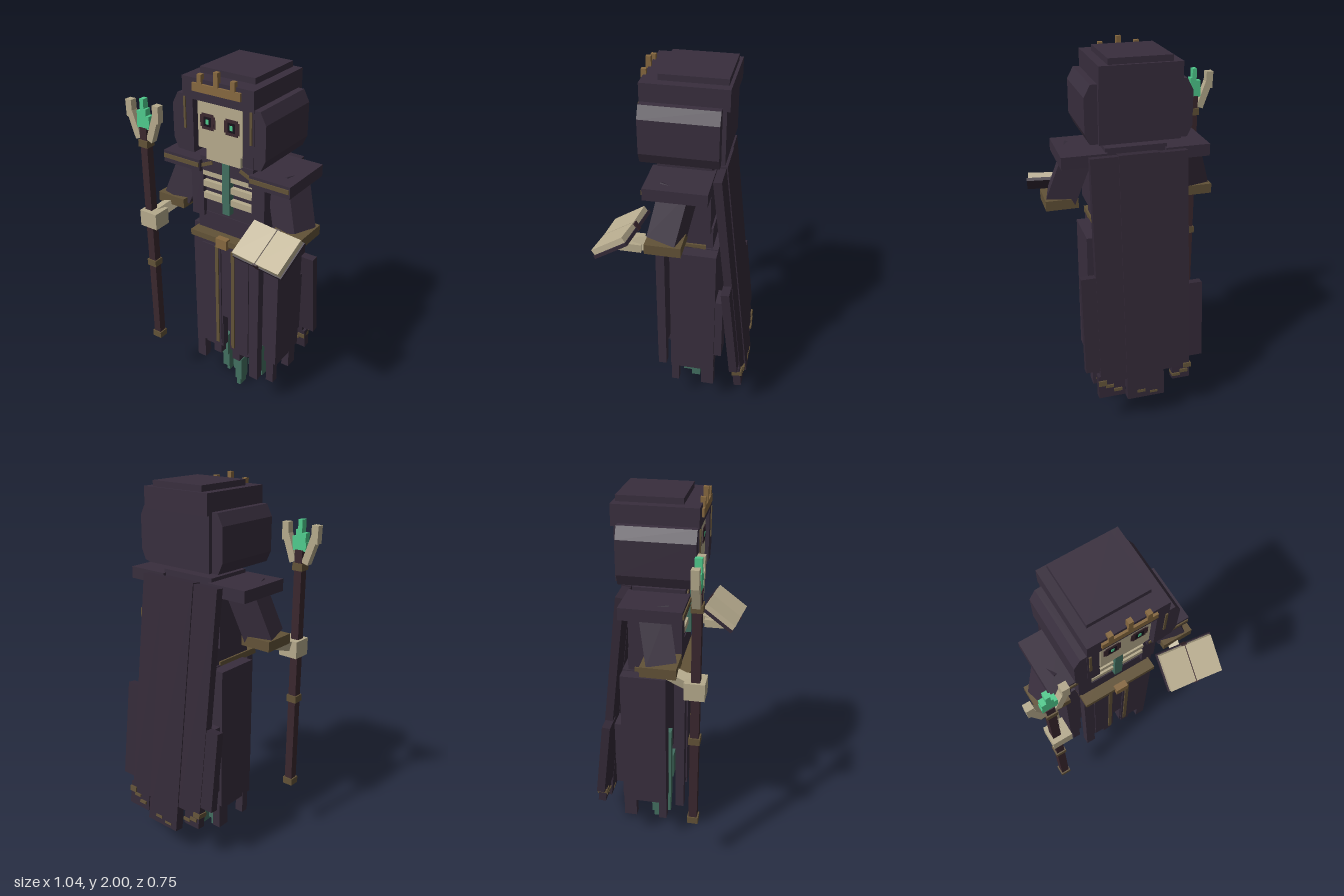
import * as THREE from 'three';

const C = 0.016; // symmetry plane of the body

const mat = (name, hex) => {
  const m = new THREE.MeshStandardMaterial({ color: hex });
  m.name = name;
  return m;
};

export function createModel() {
  const root = new THREE.Group();
  root.name = 'hoodedSkeleton';
  const robe = mat('robe', 0x382e3d), cape = mat('capeCloth', 0x332937), bone = mat('bone', 0xb5aa8c);
  const page = mat('page', 0xbdb193), gold = mat('gold', 0x86683f), trim = mat('dullGold', 0x625237);
  const wood = mat('darkWood', 0x3a272e), teal = mat('tealCloth', 0x426f60);
  const glow = mat('greenGlow', 0x4fcb8d), black = mat('black', 0x18111b);

  // box given by its limits
  const box = (name, m, x0, x1, y0, y1, z0, z1, parent = root) => {
    const mesh = new THREE.Mesh(new THREE.BoxGeometry(x1 - x0, y1 - y0, z1 - z0), m);
    mesh.position.set((x0 + x1) / 2, (y0 + y1) / 2, (z0 + z1) / 2);
    mesh.name = name;
    parent.add(mesh);
    return mesh;
  };
  // box centred on the body, by half width
  const mid = (name, m, w, ...r) => box(name, m, C - w, C + w, ...r);
  // two mirrored boxes, limits measured outward from the body centre
  const pair = (name, m, a, b, ...r) => {
    box(name + 'Left', m, C + a, C + b, ...r);
    box(name + 'Right', m, C - b, C - a, ...r);
  };
  // square bar between two points
  const bar = (name, m, a, b, w, d = w, yaw = 0) => {
    const A = new THREE.Vector3(...a), B = new THREE.Vector3(...b);
    const mesh = new THREE.Mesh(new THREE.BoxGeometry(w, A.distanceTo(B), d).rotateY(yaw), m);
    mesh.position.copy(A).add(B).multiplyScalar(0.5);
    mesh.quaternion.setFromUnitVectors(new THREE.Vector3(0, 1, 0), B.sub(A).normalize());
    mesh.name = name;
    root.add(mesh);
    return mesh;
  };

  // hood
  mid('hoodBack', robe, 0.205, 1.57, 1.86, -0.22, 0.1);
  mid('hoodCrown', robe, 0.205, 1.845, 1.95, -0.235, 0.188);
  mid('hoodTop', robe, 0.158, 1.95, 1.98, -0.22, 0.107);
  pair('hoodCheek', robe, 0.145, 0.207, 1.57, 1.845, 0.1, 0.188);
  pair('hoodTrim', trim, 0.186, 0.198, 1.69, 1.85, 0.188, 0.194);
  for (const s of [-1, 1]) {
    const pts = [[0.2, 1.57], [0.245, 1.57], [0.27, 1.625], [0.27, 1.8], [0.238, 1.86], [0.2, 1.86]];
    const shape = new THREE.Shape(pts.map(([x, y]) => new THREE.Vector2(s * x, y)));
    const flap = new THREE.Mesh(new THREE.ExtrudeGeometry(shape, { depth: 0.385, bevelEnabled: false }), robe);
    flap.position.set(C, 0, -0.2);
    flap.name = 'hoodFlap';
    root.add(flap);
  }

  // crown
  mid('crownBand', gold, 0.138, 1.89, 1.93, 0.17, 0.2);
  for (const [x, h] of [[-0.095, 1.975], [0, 2], [0.095, 1.975]])
    box('crownProng', gold, C + x - 0.012, C + x + 0.012, 1.93, h, 0.175, 0.2);

  // skull with layered eye plates
  mid('skull', bone, 0.13, 1.6, 1.845, -0.1, 0.17);
  mid('jaw', bone, 0.102, 1.53, 1.6, -0.04, 0.145);
  for (const s of [-1, 1]) {
    const plate = (name, m, w, h, z) =>
      box(name, m, C + s * 0.07 - w, C + s * 0.07 + w, 1.741 - h, 1.741 + h, 0.168, z);
    plate('socketWide', wood, 0.044, 0.03, 0.173);
    plate('socketTall', wood, 0.034, 0.04, 0.1735);
    plate('pupil', black, 0.022, 0.024, 0.175);
    plate('eyeGlow', glow, 0.008, 0.012, 0.177);
  }

  // torso, ribs and shoulders
  mid('torso', robe, 0.16, 1.07, 1.47, -0.16, 0.09);
  mid('shoulderYoke', robe, 0.16, 1.45, 1.527, -0.15, 0.12);
  mid('waist', robe, 0.2, 1.06, 1.2, -0.17, 0.095);
  pair('chestPanel', robe, 0.15, 0.225, 1.18, 1.46, -0.16, 0.115);
  for (const y of [1.303, 1.372, 1.437]) pair('rib', bone, 0.02, 0.15, y - 0.017, y + 0.017, 0.07, 0.115);
  mid('chestSash', teal, 0.022, 1.235, 1.525, 0.08, 0.128);
  pair('pauldron', robe, 0.15, 0.383, 1.445, 1.508, -0.17, 0.143);
  pair('pauldronTrim', trim, 0.155, 0.378, 1.47, 1.493, 0.14, 0.149);
  for (const s of [-1, 1])
    bar('claspBar', trim, [C + s * 0.085, 1.505, 0.122], [C + s * 0.16, 1.472, 0.122], 0.018, 0.01);

  // belt
  mid('belt', trim, 0.21, 1.065, 1.098, -0.135, 0.157);
  mid('buckle', gold, 0.034, 1.052, 1.108, 0.14, 0.175);
  pair('beltStrip', trim, 0.042, 0.062, 0.39, 1.035, 0.138, 0.146);

  // front skirt, open at the centre near the hem
  mid('frontSkirtTop', robe, 0.21, 0.58, 1.07, 0.085, 0.132);
  pair('frontSkirt', robe, 0.023, 0.21, 0.36, 0.6, 0.085, 0.132);
  pair('frontOverlay', robe, 0.03, 0.15, 0.38, 1.03, 0.13, 0.139);
  for (const [a, b, y] of [[0.04, 0.09, 0.3], [0.09, 0.14, 0.35], [0.155, 0.21, 0.22]])
    pair('frontTatter', robe, a, b, y, 0.37, 0.085, 0.131);

  // side skirt with ragged hem
  mid('skirtCore', robe, 0.21, 0.36, 1.08, -0.2, 0.0);
  pair('sideSkirt', robe, 0.2, 0.275, 0.3, 1.075, -0.2, 0.042);
  pair('sideTatterFront', robe, 0.215, 0.262, 0.16, 0.31, 0.0, 0.042);
  pair('sideTatterMid', robe, 0.215, 0.26, 0.265, 0.31, -0.13, 0.0);
  pair('sideTatterBack', robe, 0.215, 0.262, 0.16, 0.31, -0.2, -0.13);
  pair('sideRear', robe, 0.15, 0.262, 0.39, 0.77, -0.24, -0.19);

  // hanging teal rags: x0, x1, y0, y1, z0, z1
  for (const r of [
    [-0.01, 0.035, 0.12, 0.59, -0.01, 0.026], [0, 0.045, 0.045, 0.2, -0.04, 0.022], [0.01, 0.036, 0, 0.1, -0.04, 0.02],
    [-0.12, -0.055, 0.195, 0.345, -0.05, 0.022], [-0.105, -0.06, 0.085, 0.2, -0.07, 0], [-0.09, -0.07, 0.04, 0.1, -0.06, -0.02],
    [0.095, 0.17, 0.195, 0.35, -0.1, 0.02], [0.105, 0.155, 0.14, 0.2, -0.1, -0.02], [0.12, 0.147, 0.08, 0.15, -0.1, -0.05],
    [-0.055, 0.1, 0.25, 0.4, -0.1, -0.03],
  ]) box('tealRag', teal, ...r);

  // slanted cape
  const back = new THREE.Group();
  back.name = 'cape';
  back.position.set(C, 1.505, -0.19);
  back.rotation.x = 0.113;
  root.add(back);
  const cp = (name, m, ...r) => box(name, m, ...r, back);
  cp('capeCentre', cape, -0.1, 0.108, -1.365, 0, -0.029, 0.022);
  cp('capeLeft', cape, 0.1, 0.25, -1.24, -0.005, -0.023, 0.02);
  cp('capeRight', cape, -0.25, -0.1, -1.22, -0.005, -0.023, 0.02);
  cp('capeLeftFlare', cape, 0.2, 0.328, -1.165, -0.625, -0.02, 0.024);
  cp('capeRightFlare', cape, -0.325, -0.2, -1.165, -0.73, -0.02, 0.024);
  cp('capeLeftTatter', cape, 0.12, 0.265, -1.33, -1.2, -0.023, 0.02);
  cp('capeRightTatter', cape, -0.25, -0.15, -1.29, -1.2, -0.023, 0.02);
  // stepped hem trim
  for (const [x, y, h] of [
    [-0.215, -1.245, 0.018], [-0.17, -1.262, 0.015], [-0.235, -1.215, 0.025], [0.16, -1.29, 0.016],
    [0.205, -1.262, 0.015], [0.243, -1.24, 0.03], [-0.04, -1.34, 0.013], [0.03, -1.325, 0.016],
  ]) cp('hemTrim', trim, x - 0.022, x + 0.022, y - h / 2, y + h / 2, -0.032, 0.025);

  // sleeves, cuffs and forearms
  for (const s of [-1, 1]) {
    bar('sleeve', robe, [C + s * 0.27, 1.48, -0.02], [C + s * 0.355, 1.22, 0.035], 0.15, 0.15, s * 0.65);
    box('cuff', trim, C + s * 0.365 - 0.085, C + s * 0.365 + 0.085, 1.185, 1.238, -0.055, 0.125);
  }
  bar('rightForearm', bone, [-0.35, 1.2, 0.03], [-0.395, 1.15, 0.2], 0.055);
  bar('leftForearm', bone, [0.38, 1.2, 0.03], [0.345, 1.15, 0.2], 0.055);
  box('rightHand', bone, -0.45, -0.342, 1.09, 1.182, 0.165, 0.268);
  box('leftHand', bone, 0.285, 0.39, 1.13, 1.175, 0.16, 0.28);

  // open book
  const book = new THREE.Group();
  book.name = 'book';
  book.position.set(0.36, 1.225, 0.268);
  book.rotation.set(0.6, -0.13, 0, 'YXZ');
  root.add(book);
  box('bookCover', cape, -0.153, 0.153, -0.025, -0.008, -0.105, 0.105, book);
  box('bookSpine', wood, -0.014, 0.014, -0.03, 0.014, -0.107, 0.107, book);
  for (const s of [-1, 1]) {
    const p = box('bookPages', page, s * 0.074 - 0.071, s * 0.074 + 0.071, -0.01, 0.02, -0.1, 0.1, book);
    p.rotation.z = s * 0.03;
  }

  // staff
  const sx = -0.413, sz = 0.22;
  const shaft = (name, m, w, y0, y1, x = 0) => box(name, m, sx + x - w, sx + x + w, y0, y1, sz - w, sz + w);
  shaft('staffShaft', wood, 0.022, 0.33, 1.65);
  for (const y of [0.34, 0.845, 1.565]) shaft('staffRing', trim, 0.029, y - 0.019, y + 0.019);
  for (const s of [-1, 1]) {
    bar('forkLower', bone, [sx + s * 0.035, 1.585, sz], [sx + s * 0.083, 1.72, sz], 0.038);
    bar('forkTip', bone, [sx + s * 0.085, 1.69, sz], [sx + s * 0.087, 1.78, sz], 0.038);
  }
  // stepped crystal flame
  for (const [x, w, y0, y1] of [[0, 0.038, 1.645, 1.69], [-0.022, 0.013, 1.68, 1.735], [0.006, 0.018, 1.68, 1.75], [0, 0.012, 1.74, 1.8], [0.03, 0.012, 1.66, 1.715]])
    box('crystal', glow, sx + x - w, sx + x + w, y0, y1, sz - 0.017, sz + 0.018);
  return root;
}
